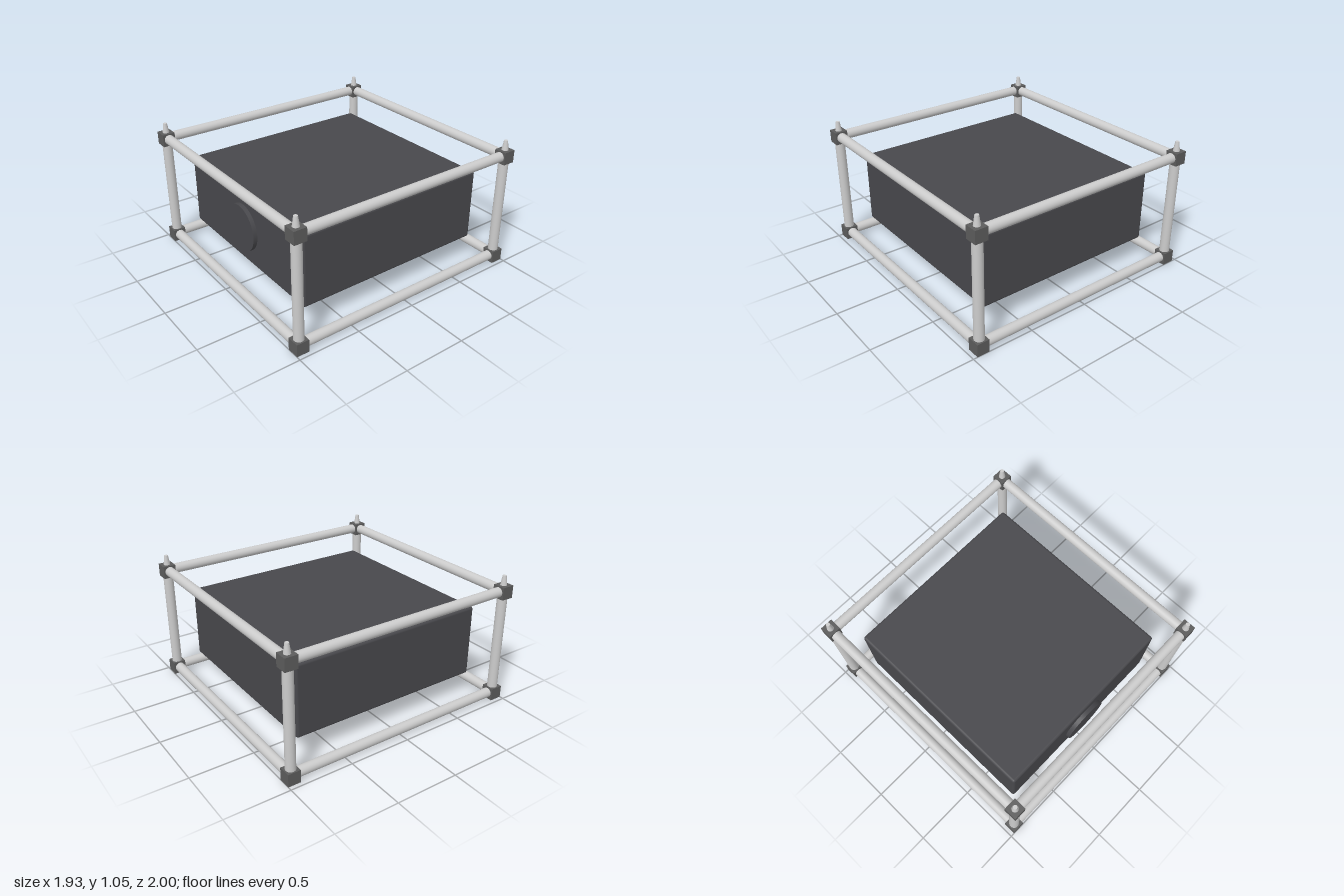
import * as THREE from 'three';
import { RoundedBoxGeometry } from 'three/addons/geometries/RoundedBoxGeometry.js';

export function createModel() {
  const model = new THREE.Group();
  const tubeMat = new THREE.MeshStandardMaterial({ color: 0xcccccc });
  const jointMat = new THREE.MeshStandardMaterial({ color: 0x5c5c5c });
  const bodyMat = new THREE.MeshStandardMaterial({ color: 0x48484c });

  const add = (name, geometry, material, x, y, z) => {
    const mesh = new THREE.Mesh(geometry, material);
    mesh.name = name;
    mesh.position.set(x, y, z);
    model.add(mesh);
    return mesh;
  };

  // Frame node positions
  const X = 0.917, Z = 0.95, LOW = 0.052, HIGH = 0.923;
  const R = 0.039, CUBE = 0.1;
  const tube = (length) => new THREE.CylinderGeometry(R, R, length - CUBE, 32);
  const joint = new THREE.BoxGeometry(CUBE, CUBE, CUBE);
  const pin = new THREE.CylinderGeometry(0.015, 0.026, 0.076, 24);

  // Corner posts, joint cubes and tapered locating pins
  for (const sx of [-1, 1]) {
    for (const sz of [-1, 1]) {
      const x = sx * X, z = sz * Z;
      add('post', tube(HIGH - LOW), tubeMat, x, (LOW + HIGH) / 2, z);
      for (const y of [LOW, HIGH]) add('cornerJoint', joint, jointMat, x, y, z);
      add('locatingPin', pin, tubeMat, x, HIGH + CUBE / 2 + 0.038, z);
    }
  }

  // Horizontal rails, bottom and top
  for (const y of [LOW + 0.003, HIGH + 0.003]) {
    for (const s of [-1, 1]) {
      add('crossRail', tube(2 * X), tubeMat, 0, y, s * Z).rotation.z = Math.PI / 2;
      add('sideRail', tube(2 * Z), tubeMat, s * X, y, 0).rotation.x = Math.PI / 2;
    }
  }

  // Housing with softened edges, and the round cover on its front
  add('housing', new RoundedBoxGeometry(1.55, 0.58, 1.61, 4, 0.02), bodyMat, 0, 0.488, 0);
  const cover = new THREE.CylinderGeometry(0.187, 0.187, 0.06, 64);
  add('frontCover', cover, bodyMat, 0, 0.488, 0.808).rotation.x = Math.PI / 2;

  return model;
}
